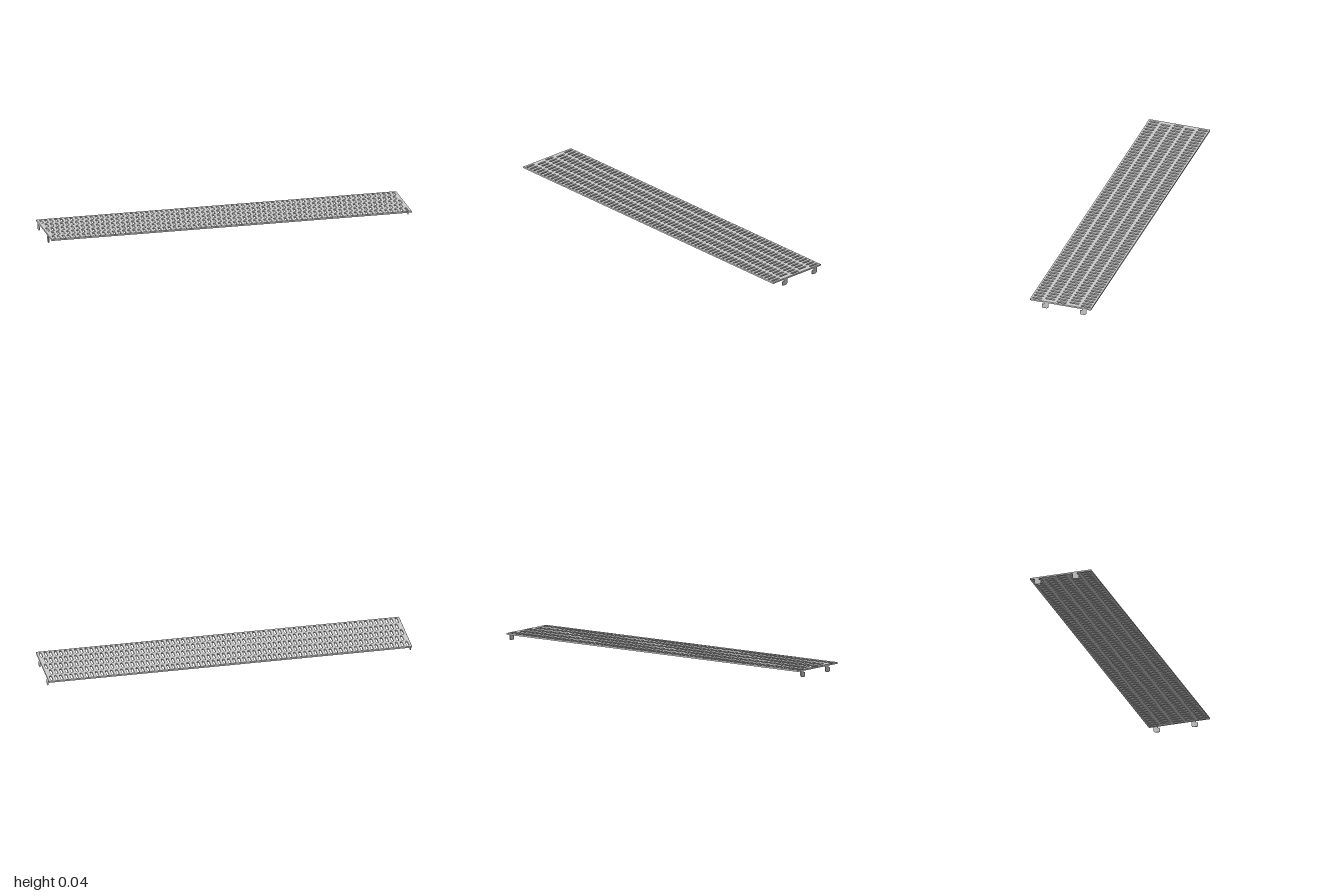
import * as THREE from 'three';

const HALF_X = 1, HALF_Z = 0.174;         // outer size of the panel
const TOP = 0.043, BOTTOM = 0.034;        // heights of the panel
const BEVEL = 0.002;                      // rounding of the upper edges
const HOOK_THICKNESS = 0.004;
const material = new THREE.MeshStandardMaterial({ color: 0xcccccc });

// Oblong slot running along the depth of the panel
function slot(cx, cy, width, length) {
  const r = width / 2, h = length / 2 - r;
  const path = new THREE.Path();
  path.absarc(cx, cy + h, r, 0, Math.PI, false);
  path.absarc(cx, cy - h, r, Math.PI, Math.PI * 2, false);
  path.closePath();
  return path;
}

// Panel with five staggered rows of slots, rounded on the upper edges only
function slottedPanel() {
  const shape = new THREE.Shape([
    new THREE.Vector2(-HALF_X, -HALF_Z), new THREE.Vector2(HALF_X, -HALF_Z),
    new THREE.Vector2(HALF_X, HALF_Z), new THREE.Vector2(-HALF_X, HALF_Z),
  ]);
  const rows = 5, columns = 71, pitch = 0.028, rowPitch = 0.069;
  for (let row = 0; row < rows; row++) {
    const count = columns - row % 2;
    for (let i = 0; i < count; i++) {
      shape.holes.push(slot((i - (count - 1) / 2) * pitch, (row - (rows - 1) / 2) * rowPitch, 0.011, 0.053));
    }
  }
  const geometry = new THREE.ExtrudeGeometry(shape, {
    depth: TOP - BOTTOM - BEVEL, curveSegments: 5,
    bevelThickness: BEVEL, bevelSize: BEVEL, bevelOffset: -BEVEL, bevelSegments: 2,
  });
  // Flatten the lower bevel so the underside stays square
  const position = geometry.attributes.position;
  for (let i = 0; i < position.count; i++) position.setZ(i, Math.max(0, position.getZ(i)));
  geometry.computeVertexNormals();
  geometry.rotateX(-Math.PI / 2);
  geometry.translate(0, BOTTOM, 0);
  return geometry;
}

// Flat hook with its nose pointing to the front
function hook() {
  const s = new THREE.Shape();
  s.moveTo(0.068, BOTTOM);
  s.lineTo(0.068, 0.016);
  s.quadraticCurveTo(0.068, 0, 0.084, 0);
  s.lineTo(0.1, 0);
  s.quadraticCurveTo(0.105, 0, 0.105, 0.005);
  s.lineTo(0.105, 0.021);
  s.quadraticCurveTo(0.105, 0.025, 0.1, 0.025);
  s.lineTo(0.096, 0.025);
  s.quadraticCurveTo(0.093, 0.025, 0.093, 0.029);
  s.lineTo(0.093, BOTTOM);
  s.closePath();
  const geometry = new THREE.ExtrudeGeometry(s, { depth: HOOK_THICKNESS, bevelEnabled: false, curveSegments: 6 });
  geometry.rotateY(-Math.PI / 2);
  return geometry;
}

export function createModel() {
  const model = new THREE.Group();
  model.name = 'perforatedShelf';
  const add = (geometry, name, x = 0, z = 0) => {
    const mesh = new THREE.Mesh(geometry, material);
    mesh.name = name;
    mesh.position.set(x, 0, z);
    model.add(mesh);
  };

  add(slottedPanel(), 'slottedPanel');

  // Two hooks at each end
  const hookGeometry = hook();
  for (const [side, x] of [['left', HALF_X], ['right', -HALF_X + HOOK_THICKNESS]]) {
    add(hookGeometry, side + 'FrontHook', x);
    add(hookGeometry, side + 'BackHook', x, -0.216);
  }
  return model;
}
